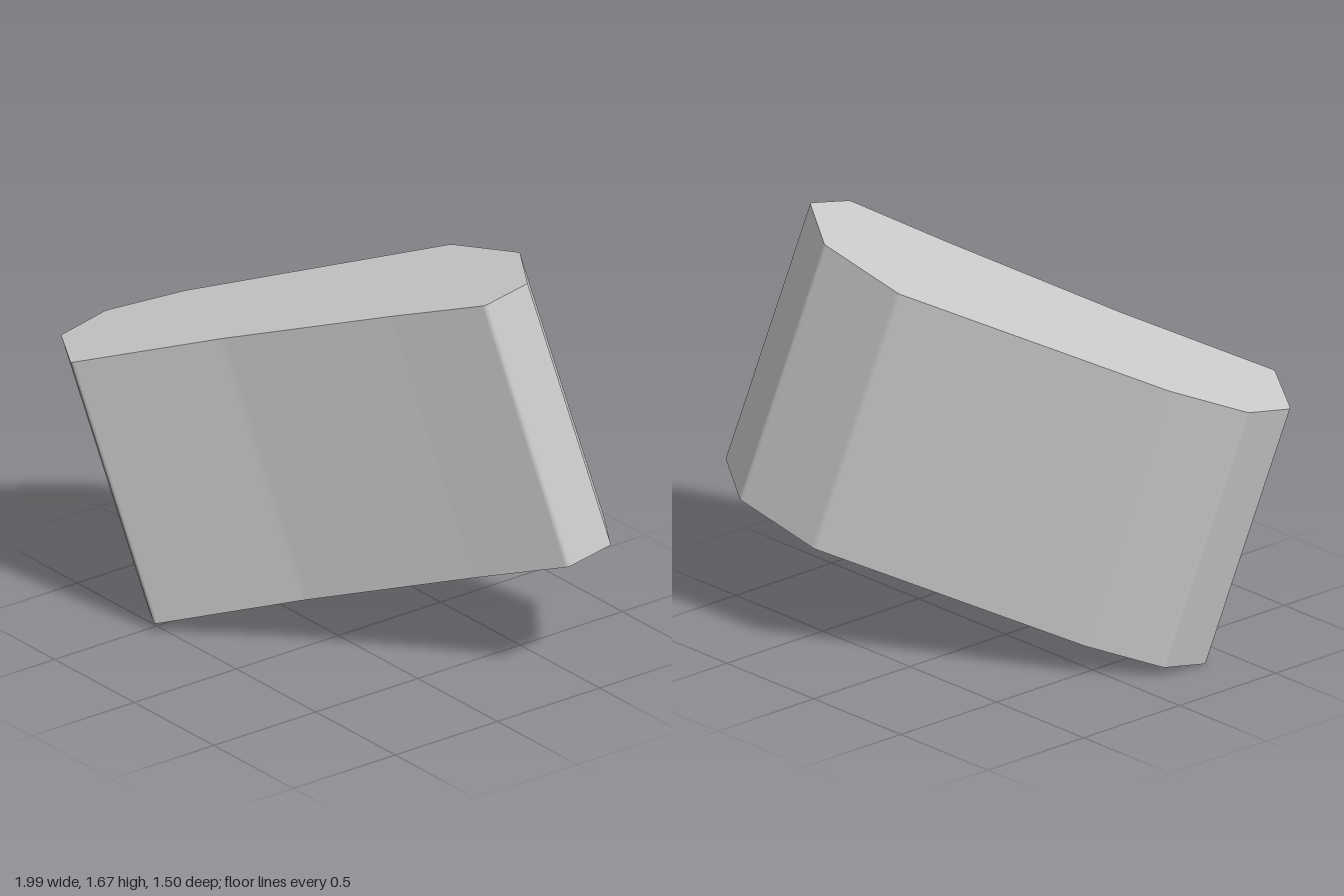
import * as THREE from 'three';

// Outline of the slab, seen along its own axis (length, depth)
const OUTLINE = [
  [-1.054, 0.59], [-0.774, 0.763], [-0.244, 0.407], [0.389, 0.041], [0.757, -0.153],
  [0.776, -0.356], [0.477, -0.555], [0.074, -0.521], [-0.828, 0.132], [-1.044, 0.366],
].map(([u, v]) => new THREE.Vector2(u, -v));
const HEIGHT = 1.129;
const SOFTEN = 0.014; // how far each long edge is eased

// Polygon whose corners are eased by short curves
function softPolygon(points, ease) {
  const shape = new THREE.Shape();
  points.forEach((p, i) => {
    const prev = points[(i + points.length - 1) % points.length];
    const next = points[(i + 1) % points.length];
    const a = prev.clone().sub(p).setLength(ease).add(p);
    const b = next.clone().sub(p).setLength(ease).add(p);
    if (i === 0) shape.moveTo(a.x, a.y);
    else shape.lineTo(a.x, a.y);
    shape.quadraticCurveTo(p.x, p.y, b.x, b.y);
  });
  shape.closePath();
  return shape;
}

export function createModel() {
  const group = new THREE.Group();
  group.name = 'tiltedBlock';

  const geometry = new THREE.ExtrudeGeometry(softPolygon(OUTLINE, SOFTEN), {
    depth: HEIGHT, bevelEnabled: false, curveSegments: 5,
  });

  // Tilt: the extrusion axis leans to the right, toward the front
  const axis = new THREE.Vector3(-0.255, 1.08, 0.21).normalize();
  const across = new THREE.Vector3(1.08, 0.255, 0).normalize();
  const back = axis.clone().cross(across);
  geometry.translate(0, 0, -HEIGHT);
  geometry.applyMatrix4(new THREE.Matrix4().makeBasis(across, back, axis).setPosition(0, 1.43, 0));

  const block = new THREE.Mesh(geometry, new THREE.MeshStandardMaterial({ color: 0xcccccc }));
  block.name = 'block';
  group.add(block);
  return group;
}
